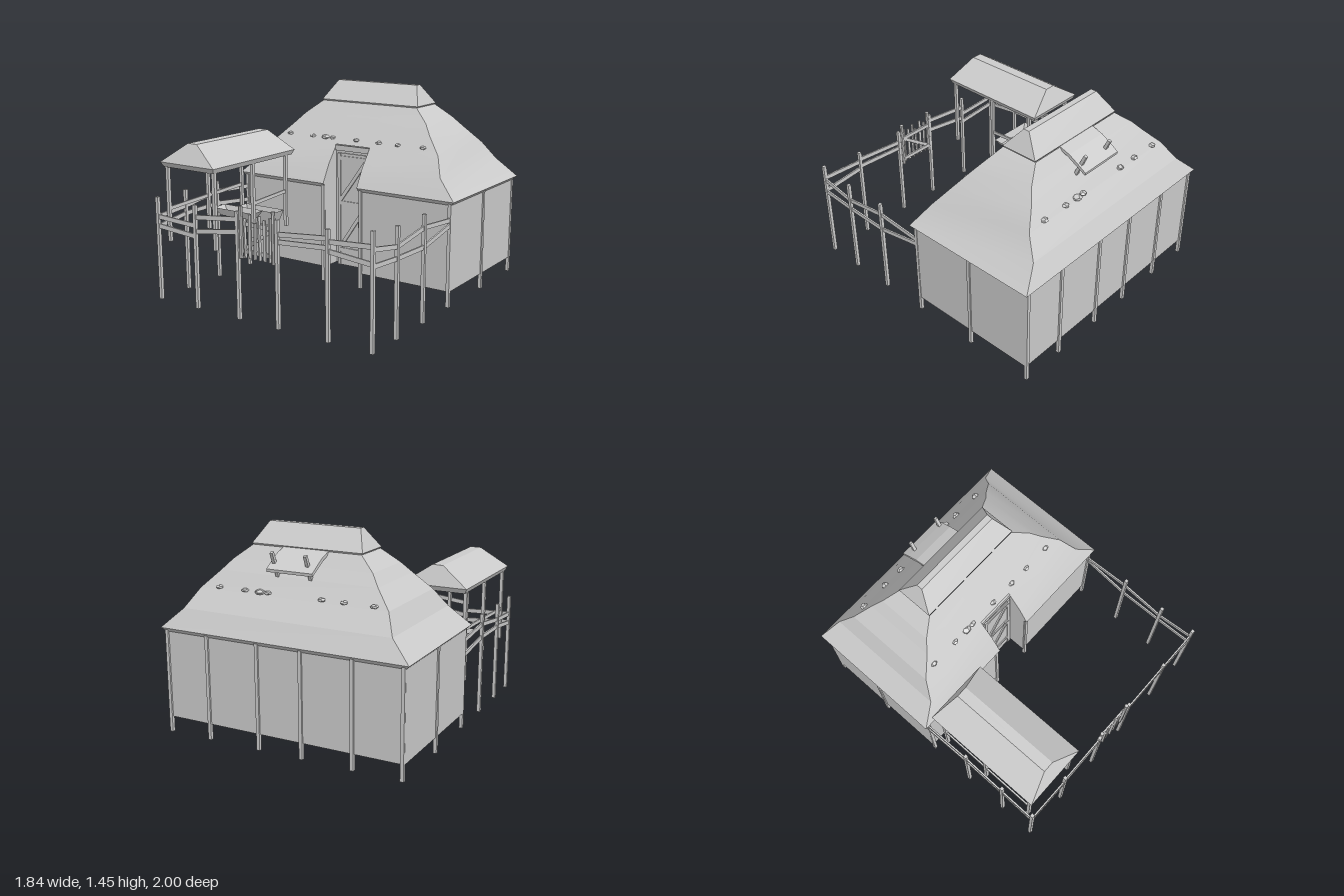
import * as THREE from 'three';

const material = new THREE.MeshStandardMaterial({ color: 0xcccccc, side: THREE.DoubleSide });
const flat = new THREE.MeshStandardMaterial({ color: 0xcccccc, side: THREE.DoubleSide, flatShading: true });
const CZ = -0.484; // middle of the house in depth
const DOOR = 0.145; // half width of the door recess

function add(parent, name, geometry, mat = flat) {
  const mesh = new THREE.Mesh(geometry, mat);
  mesh.name = name;
  parent.add(mesh);
  return mesh;
}

function group(parent, name) {
  const g = new THREE.Group();
  g.name = name;
  parent.add(g);
  return g;
}

function box(parent, name, x0, x1, y0, y1, z0, z1) {
  const mesh = add(parent, name, new THREE.BoxGeometry(x1 - x0, y1 - y0, z1 - z0));
  mesh.position.set((x0 + x1) / 2, (y0 + y1) / 2, (z0 + z1) / 2);
  return mesh;
}

// Square timber between two points
function beam(parent, name, a, b, w = 0.022, t = w) {
  const p = new THREE.Vector3(...a), q = new THREE.Vector3(...b);
  const mesh = add(parent, name, new THREE.BoxGeometry(w, t, p.distanceTo(q)));
  mesh.position.copy(p).add(q).multiplyScalar(0.5);
  mesh.lookAt(q);
  return mesh;
}

const post = (parent, name, x, z, y0, y1, w = 0.024) => beam(parent, name, [x, y0, z], [x, y1, z], w);

// Grid surface from rows of points, with optional skipped cells
function grid(rows, skip = () => false) {
  const n = rows[0].length, index = [];
  for (let r = 0; r < rows.length - 1; r++) for (let c = 0; c < n - 1; c++) {
    if (skip(r, c)) continue;
    const a = r * n + c, b = a + 1, d = a + n, e = d + 1;
    index.push(a, b, e, a, e, d);
  }
  const g = new THREE.BufferGeometry();
  g.setAttribute('position', new THREE.Float32BufferAttribute(rows.flat(2), 3));
  g.setIndex(index);
  g.computeVertexNormals();
  return g;
}

// Four-sided loft; each ring is [x0, x1, z0, z1, y]
function loft(rings, top = true, bottom = true) {
  const loop = ([x0, x1, z0, z1, y]) => [[x0, y, z1], [x1, y, z1], [x1, y, z0], [x0, y, z0], [x0, y, z1]];
  const point = ([x0, x1, z0, z1, y]) => Array.from({ length: 5 }, () => [(x0 + x1) / 2, y, (z0 + z1) / 2]);
  const rows = rings.map(loop);
  if (bottom) rows.unshift(point(rings[0]));
  if (top) rows.push(point(rings[rings.length - 1]));
  return grid(rows);
}

function buildHouse(root) {
  const house = group(root, 'house');
  const X = 0.885, front = 0.01, back = -0.98, y0 = 0.11, y1 = 0.735, T = 0.006;
  // Walls, open underneath, with a door recess in front
  for (const s of [-1, 1]) {
    box(house, 'sideWall', s * X - T / 2, s * X + T / 2, y0, y1, back, front);
    const [a, b] = s > 0 ? [DOOR, X] : [-X, -DOOR];
    box(house, 'frontWall', a, b, y0, y1, front - T, front);
    const cheek = new THREE.Shape([[0.01, 0.11], [0.01, 0.73], [0.036, 0.749], [-0.039, 0.885], [-0.139, 1.015], [-0.139, 0.11]]
      .map(([z, y]) => new THREE.Vector2(-z, y)));
    const wall = add(house, 'recessWall', new THREE.ShapeGeometry(cheek));
    wall.rotation.y = Math.PI / 2;
    wall.position.x = s * DOOR;
  }
  box(house, 'backWall', -X, X, y0, y1, back, back + T);
  box(house, 'recessBack', -DOOR, DOOR, y0, 1.01, -0.144, -0.139);

  // Wall posts
  const xs = [-0.875, -0.53, -0.16, 0.165, 0.555, 0.88];
  for (const x of xs) post(house, 'wallPost', x, back, 0, y1);
  for (const x of [xs[0], xs[2], xs[3], xs[5]]) post(house, 'wallPost', x, front, 0, y1);
  for (const s of [-1, 1]) post(house, 'wallPost', s * X, CZ, 0, y1);

  // Plank door with braces
  const door = group(house, 'door');
  box(door, 'doorPanel', -0.12, 0.135, 0.1, 0.955, -0.138, -0.128);
  for (const y of [0.22, 0.58, 0.92]) box(door, 'doorRail', -0.12, 0.135, y - 0.015, y + 0.015, -0.128, -0.12);
  for (const x of [-0.11, 0.125]) box(door, 'doorStile', x - 0.012, x + 0.012, 0.1, 0.955, -0.128, -0.12);
  for (const [a, b] of [[0.6, 0.9], [0.24, 0.56]]) beam(door, 'doorBrace', [-0.1, a, -0.123], [0.115, b, -0.123], 0.01, 0.026);
  box(house, 'lintel', -DOOR, DOOR, 0.972, 1.012, -0.14, -0.125);

  // Flared thatch: rings of half width, half depth, height
  const rings = [[0.918, 0.52, 0.749], [0.773, 0.445, 0.885], [0.7, 0.345, 1.015], [0.586, 0.262, 1.133], [0.522, 0.205, 1.207], [0.408, 0.137, 1.3]];
  const soffit = [[0.86, 0.47, 0.722], [0.89, 0.497, 0.722], rings[0]];
  const corners = [[-1, 1], [1, 1], [1, -1], [-1, -1]];
  const makeRows = (list, k) => list.map(([w, d, y]) => {
    const [a, b] = [corners[k], corners[(k + 1) % 4]];
    const ends = [a, b].map(([sx, sz]) => [sx * w, y, CZ + sz * d]);
    if (k === 0) ends.splice(1, 0, [-DOOR, y, CZ + d], [DOOR, y, CZ + d]);
    return ends;
  });
  for (let k = 0; k < 4; k++) {
    add(house, 'thatchSide', grid(makeRows(rings, k), (r, c) => k === 0 && c === 1 && r < 2), k < 2 ? material : flat);
    add(house, 'eave', grid(makeRows(soffit, k), (r, c) => k === 0 && c === 1));
  }

  // Ridge cap
  const capRing = (w, d, y) => [-w, w, CZ - d, CZ + d, y];
  add(house, 'ridgeCap', loft([capRing(0.4, 0.13, 1.295), capRing(0.415, 0.138, 1.31), capRing(0.343, 0.022, 1.45)]));

  // Weight stones on the thatch
  const stone = (x, y, z, i, r = 0.028) => {
    const m = add(house, 'stone', new THREE.DodecahedronGeometry(r));
    m.scale.set(1, 0.5, 0.95);
    m.rotation.y = i * 1.3;
    m.position.set(x, y, z);
  };
  [-0.587, -0.376, -0.262, -0.198, 0.012, 0.205, 0.36, 0.566].forEach((x, i) => stone(x, 1.053, -0.172, i, i === 2 ? 0.037 : 0.028));
  [-0.6, -0.39, -0.23, 0.17, 0.23, 0.344, 0.55].forEach((x, i) => stone(x, 1.033, -0.822, i, i === 4 ? 0.037 : 0.028));

  // Propped smoke flap at the back
  const flap = [[0.6, 1.31], [0.7, 1.277], [0.78, 1.23], [0.835, 1.195], [0.832, 1.175], [0.775, 1.207], [0.69, 1.255], [0.6, 1.29]];
  const geo = new THREE.ExtrudeGeometry(new THREE.Shape(flap.map(p => new THREE.Vector2(...p))), { depth: 0.34, bevelEnabled: false });
  const mesh = add(house, 'smokeFlap', geo);
  mesh.rotation.y = Math.PI / 2; // profile runs towards -z
  mesh.position.x = -0.17;
  for (const x of [-0.106, 0.142]) beam(house, 'flapProp', [x, 1.1, -0.725], [x, 1.3, -0.81], 0.022);
}

function buildFence(root) {
  const fence = group(root, 'fence');
  const Z = 0.98;
  for (const [x, h] of [[-0.875, 0.74], [-0.53, 0.73], [-0.16, 0.74], [0.165, 0.73], [0.555, 0.73], [0.88, 0.77]]) post(fence, 'fencePost', x, Z, 0, h);
  // Front rails: x from, x to, y from, y to
  const frontRails = [
    [-0.875, -0.53, 0.6, 0.585], [-0.875, -0.53, 0.535, 0.51],
    [-0.53, -0.16, 0.645, 0.685], [-0.53, -0.16, 0.545, 0.6],
    [0.165, 0.555, 0.635, 0.67], [0.165, 0.555, 0.585, 0.61],
    [0.555, 0.88, 0.65, 0.67], [0.555, 0.88, 0.59, 0.56]];
  for (const [a, b, p, q] of frontRails) beam(fence, 'frontRail', [a, p, Z], [b, q, Z], 0.012, 0.032);
  // Side posts and rails
  const zs = [Z, 0.705, 0.37, 0.01];
  const sides = [[0.883, [0.655, 0.605, 0.65, 0.62], [0.55, 0.53, 0.52, 0.585]], [-0.875, [0.6, 0.62, 0.665, 0.635], [0.53, 0.565, 0.57, 0.53]]];
  for (const [x, ...levels] of sides) {
    for (const z of [zs[1], zs[2]]) post(fence, 'fencePost', x, z, 0, 0.74);
    for (const ys of levels) for (let i = 0; i < 3; i++) beam(fence, 'sideRail', [x, ys[i], zs[i]], [x, ys[i + 1], zs[i + 1]], 0.012, 0.03);
  }

  // Gate
  const gate = group(root, 'gate');
  for (const x of [-0.135, 0.132]) {
    const m = add(gate, 'gatePost', new THREE.CylinderGeometry(0.014, 0.014, 0.35, 8));
    m.position.set(x, 0.6, Z - 0.005);
  }
  [0.7, 0.73, 0.68, 0.73, 0.71, 0.73].forEach((top, i) => {
    const x = -0.095 + i * 0.04;
    beam(gate, 'picket', [x, 0.435, Z], [x + (i % 3 - 1) * 0.006, top, Z], 0.022, 0.01);
  });
  for (const y of [0.475, 0.66]) box(gate, 'gateRail', -0.13, 0.135, y - 0.014, y + 0.014, Z - 0.02, Z - 0.006);
  beam(gate, 'gateBrace', [-0.11, 0.49, Z - 0.012], [0.12, 0.65, Z - 0.012], 0.01, 0.024);
}

function buildShelter(root) {
  const shelter = group(root, 'feedingShelter');
  add(shelter, 'shelterRoof', loft([[-0.845, -0.395, 0.08, 0.935, 0.947], [-0.862, -0.38, 0.065, 0.953, 0.982], [-0.662, -0.582, 0.125, 0.885, 1.12]]));
  for (const x of [-0.83, -0.41]) for (const z of [0.915, 0.515, 0.14]) post(shelter, 'shelterPost', x, z, 0.415, 0.96);
  beam(shelter, 'shelterRail', [-0.41, 0.66, 0.515], [-0.41, 0.68, 0.14], 0.012, 0.025);
  beam(shelter, 'shelterRail', [-0.83, 0.65, 0.915], [-0.83, 0.68, 0.14], 0.012, 0.025);
  add(shelter, 'trough', loft([[-0.74, -0.465, 0.165, 0.24, 0.43], [-0.785, -0.425, 0.145, 0.26, 0.535]], false));
  add(shelter, 'hayRack', loft([[-0.74, -0.465, 0.41, 0.49, 0.525], [-0.785, -0.425, 0.39, 0.51, 0.58]], false));
}

export function createModel() {
  const root = new THREE.Group();
  root.name = 'farmhouse';
  buildHouse(root);
  buildFence(root);
  buildShelter(root);
  return root;
}
